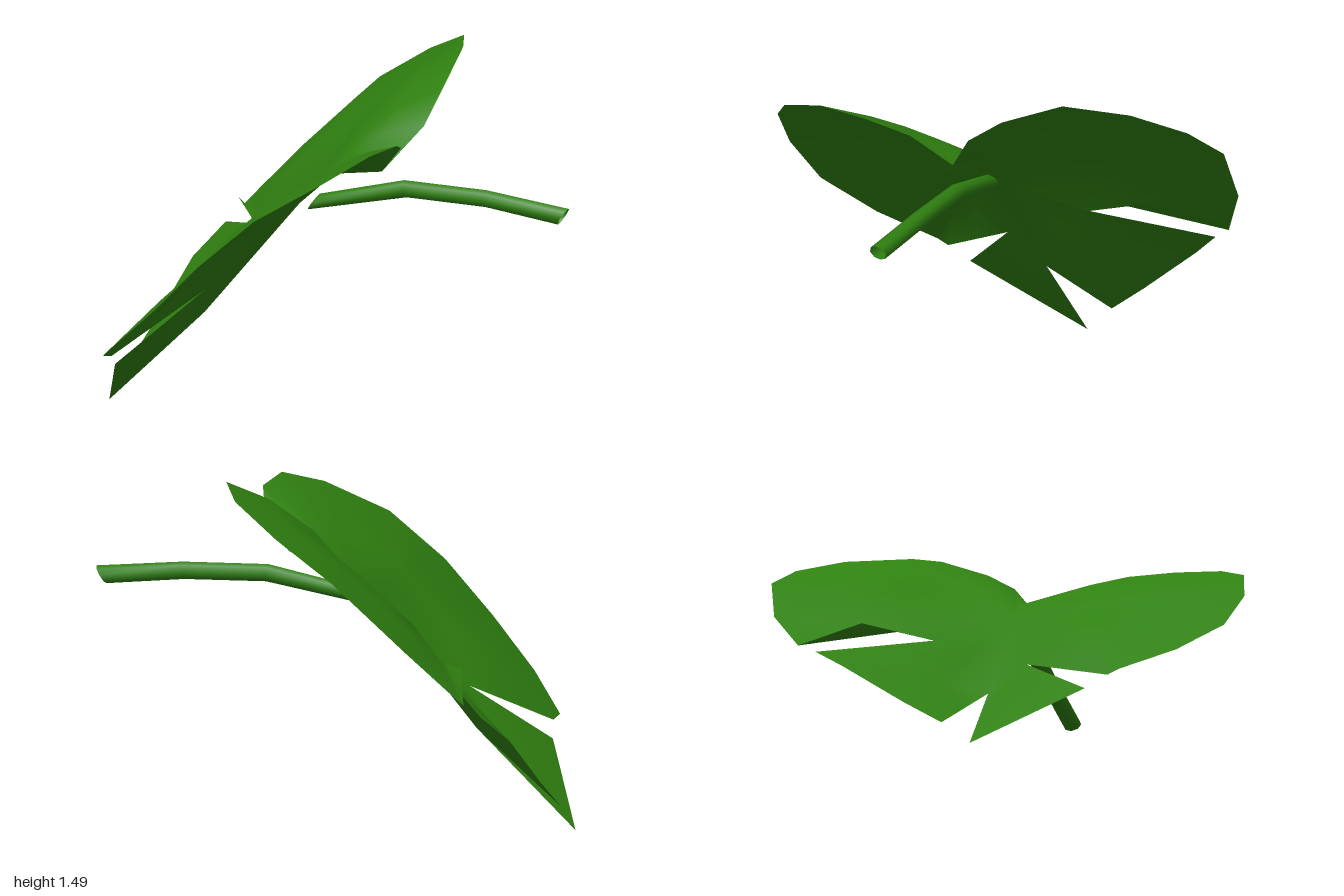
import * as THREE from 'three';
import { mergeVertices } from 'three/addons/utils/BufferGeometryUtils.js';

// Welded surface with smooth normals
function surface(points, index, material, name) {
  let g = new THREE.BufferGeometry();
  g.setAttribute('position', new THREE.Float32BufferAttribute(points.flat(), 3));
  g.setIndex(index);
  g = mergeVertices(g);
  g.computeVertexNormals();
  const mesh = new THREE.Mesh(g, material);
  mesh.name = name;
  return mesh;
}

const mix = (a, b, t) => a.map((v, k) => v + (b[k] - v) * t);

// Leaf blade: four sections around the stalk joint, parted by tears in the rim
function leafBlade(material) {
  const centre = [-0.17, 0.92, 0.01];
  // Where the heart notch and the three tears end
  const heart = [-0.04, 1.06, 0.02];
  const frontTear = [-0.525, 0.555, 0.15];
  const middleTear = [-0.59, 0.41, 0.005];
  const backTear = [-0.47, 0.73, -0.25];
  // Each section swells upwards between joint and rim
  const sections = [
    { from: heart, to: frontTear, swell: 0.055, rim: [
      [0.2, 1.1, 0.035], [0.335, 1.25, 0.16], [0.385, 1.31, 0.335], [0.36, 1.325, 0.56],
      [0.235, 1.25, 0.785], [0, 1.11, 0.935], [-0.22, 0.91, 0.99], [-0.43, 0.69, 0.955],
      [-0.64, 0.5, 0.805], [-0.795, 0.365, 0.605], [-0.78, 0.35, 0.55]] },
    { from: frontTear, to: middleTear, swell: 0, rim: [[-0.8, 0.29, 0.46], [-1, 0, 0.025]] },
    { from: middleTear, to: backTear, swell: 0, rim: [
      [-0.97, 0.12, -0.1], [-0.925, 0.25, -0.27], [-0.86, 0.47, -0.54], [-0.77, 0.59, -0.675]] },
    { from: backTear, to: heart, swell: 0.085, rim: [
      [-0.65, 0.755, -0.51], [-0.72, 0.65, -0.76], [-0.51, 0.89, -0.91], [-0.22, 1.18, -0.99],
      [0.02, 1.34, -0.945], [0.23, 1.46, -0.79], [0.33, 1.49, -0.53], [0.345, 1.38, -0.26],
      [0.33, 1.27, -0.1], [0.2, 1.1, 0.035]] },
  ];
  const rib = (p, t, swell) => {
    const q = mix(centre, p, t);
    q[1] += swell * 4 * t * (1 - t);
    return q;
  };
  const points = [centre];
  const index = [];
  sections.forEach(({ from, to, swell, rim }) => {
    const last = rim.length - 1;
    rim.forEach((p, i) => {
      const end = i === 0 ? from : i === last ? to : null;
      const a = points.length;
      if (end) points.push(end, mix(end, p, 0.5), p);
      else points.push(rib(p, 0.42, swell), rib(p, 0.71, swell), p);
      if (i === last) return;
      const b = a + 3;
      index.push(0, b, a);
      for (let r = 0; r < 2; r++) index.push(a + r, b + r, b + r + 1, a + r, b + r + 1, a + r + 1);
    });
  });
  return surface(points, index, material, 'leafBlade');
}

// Stalk: an open bent tube with slanted ends
function stalk(material) {
  const path = [
    [-0.105, 0.935, 0.015, 0.025], [0.28, 1.02, -0.025, -0.005],
    [0.63, 1.015, -0.03, 0.003], [0.976, 0.98, -0.015, 0.022],
  ];
  const sides = 8, radius = 0.036;
  const points = [];
  const index = [];
  path.forEach(([x, y, z, slant], r) => {
    for (let i = 0; i < sides; i++) {
      const a = (i / sides) * Math.PI * 2;
      points.push([x + slant * Math.sin(a), y + radius * Math.sin(a), z + radius * Math.cos(a)]);
      if (r === 0) continue;
      const j = (i + 1) % sides, p = (r - 1) * sides, q = r * sides;
      index.push(p + i, q + i, q + j, p + i, q + j, p + j);
    }
  });
  return surface(points, index, material, 'stalk');
}

export function createModel() {
  const green = new THREE.MeshStandardMaterial({ color: 0x2f8010, side: THREE.DoubleSide });
  green.name = 'leaf green';
  const group = new THREE.Group();
  group.name = 'lilyPad';
  group.add(leafBlade(green), stalk(green));
  return group;
}
